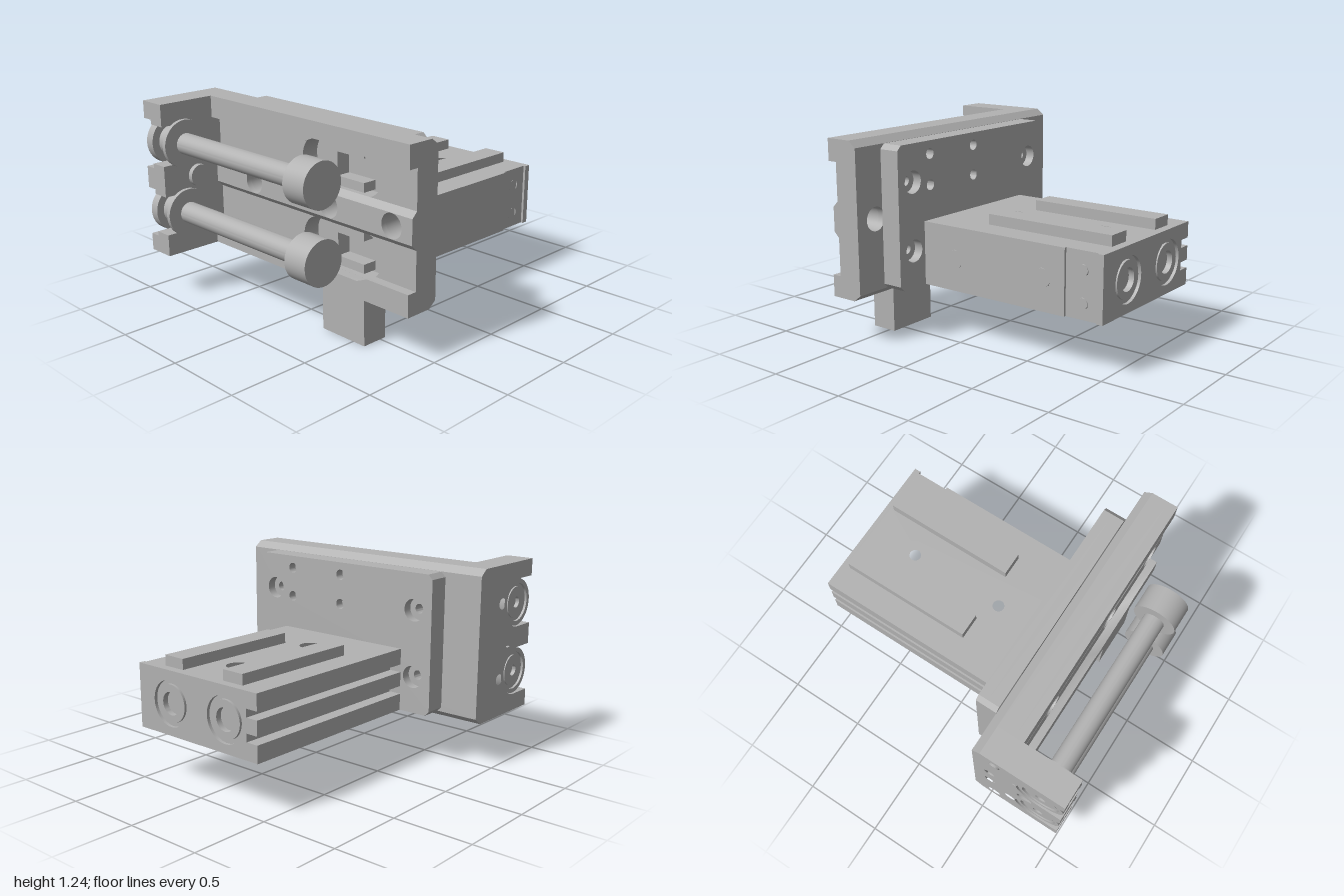
import * as THREE from 'three';
import { toCreasedNormals } from 'three/addons/utils/BufferGeometryUtils.js';

const steel = new THREE.MeshStandardMaterial({ color: 0xb2b2b2 });
steel.name = 'steel grey';

export function createModel() {
  const model = new THREE.Group();
  const MID = 0.76; // height the front carriage is symmetric about

  const add = (name, geo, crease = 0.5) => {
    const mesh = new THREE.Mesh(toCreasedNormals(geo, crease), steel);
    mesh.name = name;
    model.add(mesh);
    return mesh;
  };
  const box = (name, x0, x1, y0, y1, z0, z1) => add(name,
    new THREE.BoxGeometry(x1 - x0, y1 - y0, z1 - z0)
      .translate((x0 + x1) / 2, (y0 + y1) / 2, (z0 + z1) / 2));
  const rect = (a0, a1, b0, b1) => [[a0, b0], [a1, b0], [a1, b1], [a0, b1]];
  // circle or, with a half length, a stadium
  const hole = (a, b, r, half = 0) => Array.from({ length: 40 }, (_, i) => {
    const t = (i + 0.5) / 40 * Math.PI * 2;
    return [a + Math.sign(Math.cos(t)) * half + r * Math.cos(t), b + r * Math.sin(t)];
  });
  // extrude along an axis; points are (z,y) for x, (x,z) for y and (x,y) for z
  const slab = (axis, pts, from, to, holes = []) => {
    const su = axis === 'x' ? -1 : 1, sv = axis === 'y' ? -1 : 1;
    const vec = (list) => list.map(([a, b]) => new THREE.Vector2(a * su, b * sv));
    const shape = new THREE.Shape(vec(pts));
    shape.holes = holes.map((h) => new THREE.Path(vec(h)));
    const geo = new THREE.ExtrudeGeometry(shape, { depth: to - from, bevelEnabled: false });
    geo.translate(0, 0, from);
    if (axis === 'x') geo.rotateY(Math.PI / 2);
    if (axis === 'y') geo.rotateX(-Math.PI / 2);
    return geo;
  };
  // shift the y of vertices on one z level to form sloped edges
  const slope = (geo, z, edge, amount) => {
    const p = geo.attributes.position;
    for (let i = 0; i < p.count; i++) {
      const d = p.getY(i) - MID;
      if (Math.abs(p.getZ(i) - z) < 1e-4 && Math.abs(d) > edge) p.setY(i, p.getY(i) + Math.sign(d) * amount);
    }
    geo.computeVertexNormals();
    return geo;
  };

  // --- front carriage plate ---
  const middleHoles = [-0.38, 0.28, 0.77].map((x) => hole(x, MID, 0.074));
  const screwHoles = [-1, 1].map((s) => hole(0.595, MID + s * 0.21, 0.03));
  add('carriageBack', slope(slab('z', rect(-0.93, 0.92, 0.28, 1.24), 0.41, 0.46,
    [...middleHoles, ...screwHoles]), 0.41, 0.47, -0.04));
  add('carriagePlate', slab('z', rect(-0.75, 0.92, 0.28, 1.24), 0.46, 0.57,
    [...middleHoles, ...[-1, 1].map((s) => hole(0.35, MID + s * 0.24, 0.138, 0.18))]));
  add('carriageRib', slope(slab('z', rect(-0.75, 0.92, 0.685, 0.835), 0.57, 0.605, middleHoles),
    0.57, 0.0745, 0.035));
  for (const s of [-1, 1]) {
    const lip = [[-0.75, 0.48], [-0.75, 0.345], [0.1, 0.345], [0.18, 0.378], [0.53, 0.378],
      [0.61, 0.345], [0.92, 0.345], [0.92, 0.48]].map(([x, d]) => [x, MID + s * d]);
    add('carriageLip', slab('z', lip, 0.57, 0.63));
    // small block with an open slot in each pocket
    const y = MID + s * 0.24;
    add('pocketBlock', slab('z', [[0.19, y - 0.125], [0.51, y - 0.125], [0.51, y - 0.07], [0.3, y - 0.07],
      [0.3, y + 0.07], [0.51, y + 0.07], [0.51, y + 0.125], [0.19, y + 0.125]], 0.455, 0.55));
  }

  // --- side flange with two open slots for the bolts ---
  const flangeOutline = (r) => {
    const pts = [[0.46, 0.28], [1, 0.28]];
    for (const c of [0.54, 0.98]) {
      pts.push([1, c - r]);
      for (let i = 0; i <= 20; i++) {
        const t = -Math.PI / 2 - Math.PI * i / 20;
        pts.push([0.85 + r * Math.cos(t), c + r * Math.sin(t)]);
      }
      pts.push([1, c + r]);
    }
    return [...pts, [1, 1.24], [0.46, 1.24]];
  };
  const throughHoles = [0.52, 1.0].map((y) => hole(0.66, y, 0.035));
  add('flangeInner', slab('x', flangeOutline(0.123), -0.86, -0.75, throughHoles));
  add('flangeOuter', slab('x', flangeOutline(0.152), -0.93, -0.86, [...throughHoles,
    hole(0.755, MID, 0.05), hole(0.55, 1.15, 0.04), hole(0.55, 0.37, 0.04),
    hole(0.52, 0.86, 0.035), hole(0.52, 0.66, 0.035)]));

  // --- adjusting bolts ---
  const lathe = (name, pts, y, z) => add(name, new THREE.LatheGeometry(
    pts.map(([r, x]) => new THREE.Vector2(r, x)), 48).rotateZ(-Math.PI / 2).translate(0, y, z));
  for (const y of [0.54, 0.98]) {
    lathe('adjustingBolt', [[0, -0.89], [0.035, -0.89], [0.035, -0.915], [0.1, -0.915], [0.1, -0.905],
      [0.12, -0.905], [0.12, -0.92], [0.148, -0.92], [0.148, -0.86], [0.1, -0.86], [0.1, -0.75],
      [0.15, -0.75], [0.15, -0.723], [0.066, -0.723], [0.066, 0.335], [0.136, 0.335], [0.136, 0.5], [0, 0.5]],
    y, 0.85);
  }
  lathe('bumperPin', [[0, -0.76], [0.07, -0.76], [0.07, -0.717], [0, -0.717]], MID, 0.755);

  // --- stop block below the carriage ---
  box('stopBlock', 0.25, 0.59, 0.04, 0.28, 0.46, 0.63);
  add('stopBlockFoot', slab('y', rect(0.25, 0.59, 0.46, 0.63), 0, 0.04,
    [0.34, 0.5].map((x) => hole(x, 0.545, 0.055))));
  for (const x of [0.34, 0.5]) {
    add('stopBlockBushing', slab('y', hole(x, 0.545, 0.045), 0.005, 0.04, [hole(x, 0.545, 0.025)]));
  }

  // --- slide plate behind the carriage ---
  const c = 0.03;
  const slideOutline = [[-0.68 + c, 0.32], [0.72 - c, 0.32], [0.72, 0.32 + c], [0.72, 1.2 - c],
    [0.72 - c, 1.2], [-0.68 + c, 1.2], [-0.68, 1.2 - c], [-0.68, 0.32 + c]];
  const mounts = (r) => [-0.55, 0.595].flatMap((x) => [0.55, 0.97].map((y) => hole(x, y, r)));
  const taps = [0.03, 0.44].flatMap((x) => [0.93, 1.12].map((y) => hole(x, y, 0.033)));
  add('slidePlateBack', slab('z', slideOutline, 0.27, 0.33, [...mounts(0.07), ...taps]));
  add('slidePlateFront', slab('z', slideOutline, 0.33, 0.405, mounts(0.03)));

  // --- cylinder body ---
  const leftSlots = [[-0.46, 0.715], [-0.46, 0.615], [-0.38, 0.615], [-0.38, 0.565], [-0.46, 0.565],
    [-0.46, 0.475], [-0.38, 0.475], [-0.38, 0.425], [-0.46, 0.425], [-0.46, 0.32]];
  add('bodySlottedSide', slab('z', [...leftSlots, [-0.15, 0.32], [-0.15, 0.715]], -0.96, 0.27));
  const core = rect(-0.15, 0.18, -0.96, 0.27);
  const bolts = (r) => [-0.67, -0.035].map((z) => hole(0.015, z, r));
  add('bodyCore', slab('y', core, 0.327, 0.65, bolts(0.037)));
  add('bodyCoreTop', slab('y', core, 0.65, 0.715, bolts(0.07)));
  const ports = [0.05, -0.585].map((z) => hole(z, 0.51, 0.068));
  const screws = [0.41, 0.6].map((y) => hole(-0.855, y, 0.04));
  box('bodyPortSide', 0.18, 0.43, 0.36, 0.715, -0.96, 0.27);
  add('bodyPortSideBase', slab('y', rect(0.18, 0.43, -0.96, 0.27), 0.32, 0.36,
    [-0.61, 0.05].map((z) => hole(0.385, z, 0.03))));
  add('bodyPortWall', slab('x', rect(-0.96, 0.27, 0.32, 0.715), 0.43, 0.485, [...ports, ...screws]));
  add('bodyPortFace', slab('x', rect(-0.75, 0.27, 0.32, 0.715), 0.485, 0.5, ports));
  for (const z of [0.05, -0.585]) {
    add('portPlug', slab('x', hole(z, 0.51, 0.055), 0.43, 0.48, [hole(z, 0.51, 0.022)]));
  }
  for (const y of [0.41, 0.6]) add('sideScrew', slab('x', hole(-0.855, y, 0.032), 0.43, 0.478));

  // end cover with two bores
  const endOutline = [...leftSlots, [0.5, 0.32], [0.5, 0.715]];
  const bores = (r) => [-0.21, 0.235].map((x) => hole(x, 0.515, r));
  add('endCover', slab('z', endOutline, -1, -0.98, bores(0.14)));
  add('endCoverInner', slab('z', endOutline, -0.98, -0.96, bores(0.07)));
  for (const x of [-0.21, 0.235]) {
    add('endBushing', slab('z', hole(x, 0.515, 0.115), -0.995, -0.98, [hole(x, 0.515, 0.07)]));
  }

  // guide rails on top
  box('topRail', -0.3, -0.15, 0.715, 0.78, -0.945, -0.09);
  box('topRail', 0.18, 0.33, 0.715, 0.78, -0.945, -0.09);

  return model;
}
